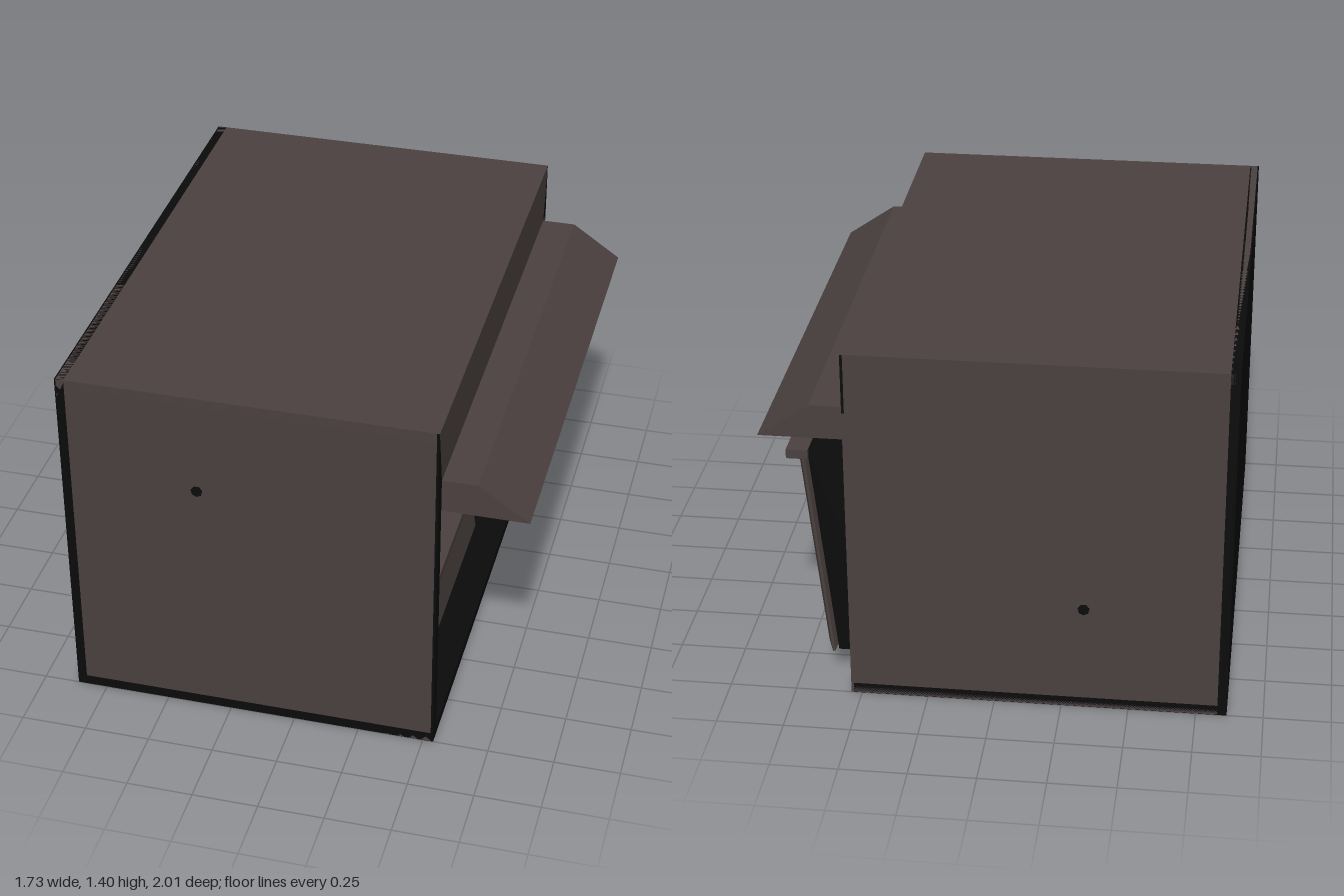
import * as THREE from 'three';

export function createModel() {
  const root = new THREE.Group();
  const brown = new THREE.MeshStandardMaterial({ color: 0x4a403f });
  brown.name = 'dark brown';
  const black = new THREE.MeshStandardMaterial({ color: 0x0b0b0b });
  black.name = 'near black';

  function add(name, geometry, material, parent = root) {
    const mesh = new THREE.Mesh(geometry, material);
    mesh.name = name;
    parent.add(mesh);
    return mesh;
  }
  // Box given by its two extreme corners
  function box(name, a, b, material, parent) {
    const g = new THREE.BoxGeometry(b[0] - a[0], b[1] - a[1], b[2] - a[2]);
    g.translate((a[0] + b[0]) / 2, (a[1] + b[1]) / 2, (a[2] + b[2]) / 2);
    return add(name, g, material, parent);
  }
  const shapeOf = (pts) => new THREE.Shape(pts.map((p) => new THREE.Vector2(p[0], p[1])));
  // Side profile in (x, y) swept along z
  function prism(name, pts, z0, z1, material) {
    const g = new THREE.ExtrudeGeometry(shapeOf(pts), { depth: z1 - z0, bevelEnabled: false });
    return add(name, g.translate(0, 0, z0), material);
  }
  // Outline in (z, y) swept along x
  function facing(pts, x, depth, bevel = 0, hole = null) {
    const flip = (list) => list.map(([z, y]) => [-z, y]);
    const shape = shapeOf(flip(pts));
    if (hole) shape.holes.push(shapeOf(flip(hole)));
    const g = new THREE.ExtrudeGeometry(shape, {
      depth, bevelEnabled: bevel > 0, bevelSize: bevel, bevelThickness: 0.015, bevelSegments: 1,
    });
    return g.rotateY(Math.PI / 2).translate(x, 0, 0);
  }
  const rect = (z0, z1, y0, y1) => [[z0, y0], [z1, y0], [z1, y1], [z0, y1]];

  // Outer shell
  box('roof', [-0.86, 1.36, -1], [0.53, 1.4, 1], brown);
  box('floor', [-0.86, 0, -1], [0.53, 0.04, 1], black);
  box('backWall', [-0.865, 0, -1], [-0.83, 1.4, 1], black);
  for (const s of [1, -1]) {
    const z0 = s > 0 ? 0.96 : -1;
    box('endWall', [-0.86, 0.001, z0], [0.53, 1.4, z0 + 0.04], brown);
    // Small dark plug in the end wall
    const plug = new THREE.CylinderGeometry(0.022, 0.022, 0.006, 7).rotateX(Math.PI / 2);
    plug.translate(s > 0 ? -0.35 : -0.33, s > 0 ? 1 : 0.42, s * 1.001);
    add('endWallPlug', plug, black);
    // Inner lining, brown near the opening
    const l0 = s > 0 ? 0.95 : -0.96;
    box('innerLining', [0.05, 0.04, l0], [0.53, 1.17, l0 + 0.01], s > 0 ? brown : black);
  }
  box('interiorBack', [0.03, 0.04, -0.96], [0.05, 1.17, 0.96], black);

  // Mitred frame round the opening
  const frame = [
    ['upperFascia', [[1, 1.4], [-1, 1.4], [-0.95, 1.17], [0.95, 1.17]], brown],
    ['bottomSill', [[1, 0], [-1, 0], [-0.95, 0.04], [0.95, 0.04]], black],
    ['frontJamb', [[1, 0], [1, 1.4], [0.95, 1.17], [0.95, 0.04]], black],
    ['rearJamb', [[-1, 0], [-1, 1.17], [-0.95, 1.17], [-0.95, 0.04]], brown],
    ['rearJambTop', [[-1, 1.17], [-1, 1.4], [-0.95, 1.17]], black],
  ];
  for (const [name, pts, mat] of frame) add(name, facing(pts, 0.53, 0.01), mat);

  // Canopy and the valance below it
  prism('canopy', [[0.4, 1.04], [0.86, 1.04], [0.67, 1.17], [0.4, 1.17]], -0.95, 0.95, brown);
  prism('valance', [[0.05, 1.04], [0.05, 0.86], [0.32, 0.86], [0.38, 0.99], [0.4, 1.04]],
    -0.27, 0.95, brown);

  // Counter
  prism('counterFront', [[0.05, 0.04], [0.42, 0.04], [0.36, 0.51], [0.05, 0.51]],
    -0.32, 0.95, brown);
  box('counterTop', [0.05, 0.53, -0.28], [0.49, 0.56, 0.95], brown);
  box('counterUnderside', [0.05, 0.51, -0.32], [0.48, 0.53, 0.95], black);
  box('partition', [0.05, 0.53, -0.33], [0.4, 1.04, -0.27], brown);

  // Leaning booth: dark body and bevelled door
  prism('boothBody', [[0.4, 0.11], [0.605, 0.11], [0.695, 0.955], [0.4, 0.955]],
    -0.88, -0.34, black);
  const door = new THREE.Group();
  door.name = 'door';
  door.position.set(0.62, 0.11, -0.61);
  door.rotation.z = -0.106;
  root.add(door);
  add('doorPanel', facing(rect(-0.257, 0.257, 0.035, 0.82), -0.005, 0.01, 0.033), brown, door);
  const windowFrame = facing(rect(-0.088, 0.088, 0.45, 0.71), 0.018, 0.024, 0,
    rect(-0.068, 0.068, 0.47, 0.69));
  add('windowFrame', windowFrame, black, door);
  box('windowPane', [0.02, 0.46, -0.08], [0.026, 0.7, 0.08], black, door);
  box('doorCap', [0.69, 0.925, -0.9], [0.77, 0.96, -0.31], brown);

  return root;
}
